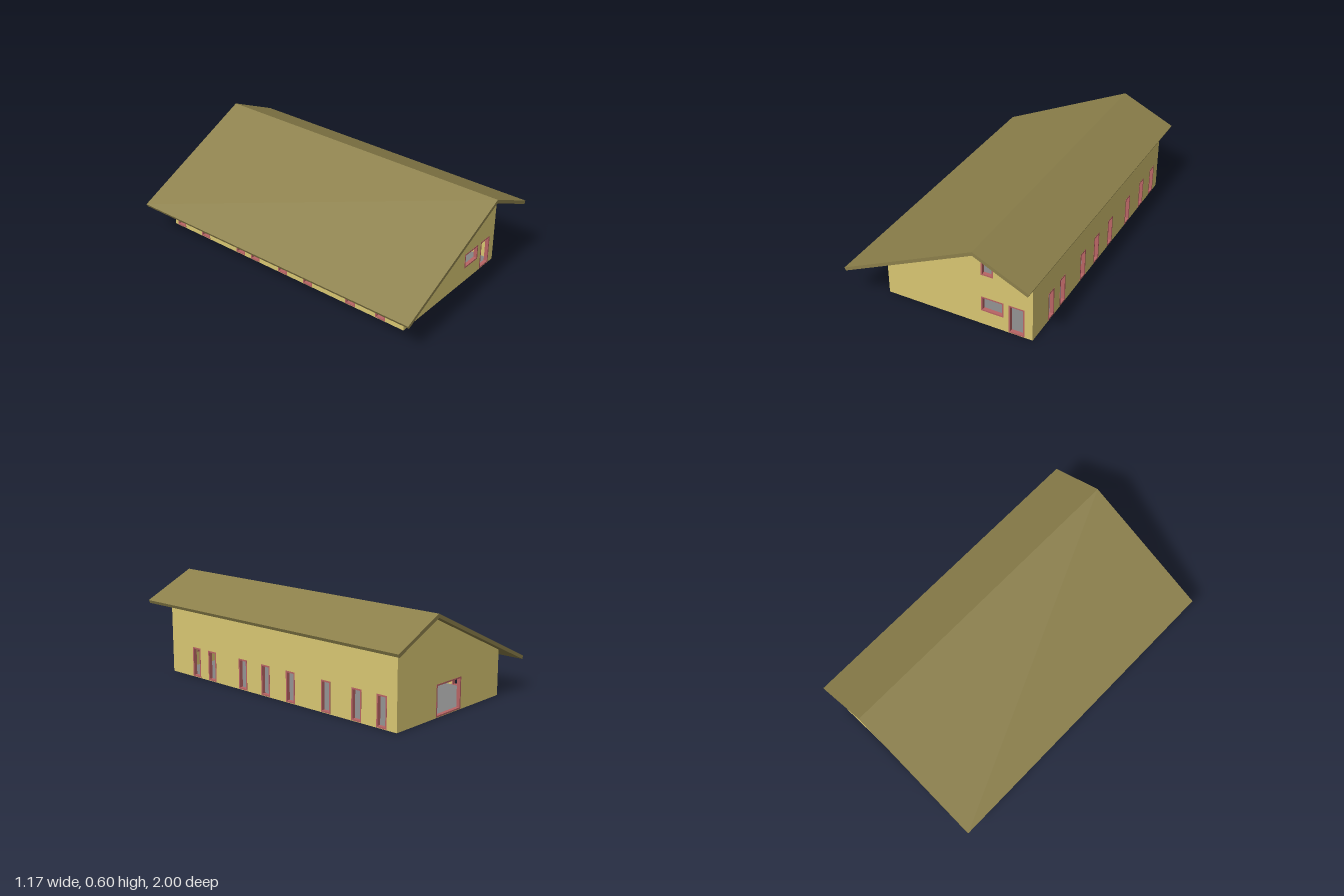
import * as THREE from 'three';

const X0 = -0.40, X1 = 0.525, Z0 = -0.95, Z1 = 0.845; // outer wall faces
const T = 0.02;                                        // wall thickness
const RIDGE = [0.25, 0.574];
const material = (color) => new THREE.MeshStandardMaterial({ color, flatShading: true });

// height of the roof underside at x
const underRoof = (x) => RIDGE[1] - (x < RIDGE[0] ? (RIDGE[0] - x) * 0.464 : (x - RIDGE[0]) * 0.471);

const polygon = (points) => new THREE.Shape(points.map(([x, y]) => new THREE.Vector2(x, y)));

const rectPath = (a, b, c, d) => {
  const p = new THREE.Path();
  p.moveTo(a, c);
  p.lineTo(a, d);
  p.lineTo(b, d);
  p.lineTo(b, c);
  p.closePath();
  return p;
};

const extrude = (shape, depth) => new THREE.ExtrudeGeometry(shape, { depth, bevelEnabled: false });

function addMesh(parent, name, geometry, mat) {
  const mesh = new THREE.Mesh(geometry, mat);
  mesh.name = name;
  parent.add(mesh);
  return mesh;
}

// a wall with openings [left, right, bottom, top], each lined by a frame
function makeWall(name, outline, openings, wallMat, frameMat) {
  const group = new THREE.Group();
  group.name = name;
  const wall = polygon(outline);
  const f = 0.009, out = 0.001;
  openings.forEach(([a, b, c, d], i) => {
    wall.holes.push(rectPath(a, b, c, d));
    const frame = polygon([[a, c], [b, c], [b, d], [a, d]]);
    frame.holes.push(rectPath(a + f, b - f, c + f, d - f));
    addMesh(group, `${name}Frame${i + 1}`, extrude(frame, T + 2 * out), frameMat).position.z = -out;
  });
  addMesh(group, `${name}Panel`, extrude(wall, T), wallMat);
  return group;
}

export function createModel() {
  const model = new THREE.Group();
  model.name = 'house';
  const wallMat = material(0xd8c672);
  const frameMat = material(0xb86464);
  const roofMat = material(0x8b7f4a);
  const floorMat = material(0x858585);

  // gable walls
  const gable = [[X0, 0], [X1, 0], [X1, underRoof(X1)], RIDGE, [X0, underRoof(X0)]];
  const front = makeWall('frontWall', gable, [
    [0.21, 0.285, 0.336, 0.43],
    [0.207, 0.347, 0.092, 0.189],
    [0.378, 0.475, 0.003, 0.189],
  ], wallMat, frameMat);
  front.position.z = Z1 - T;
  const back = makeWall('backWall', gable, [[-0.036, 0.189, 0.003, 0.189]], wallMat, frameMat);
  back.position.z = Z0;
  model.add(front, back);

  // long walls with rows of tall openings
  const sides = [
    ['leftWall', X1, X1, [0.622, 0.48, 0.21, 0.02, -0.18, -0.45, -0.672, -0.847]],
    ['rightWall', X0 + T, X0, [0.685, 0.472, 0.155, -0.04, -0.26, -0.38, -0.678, -0.892]],
  ];
  for (const [name, x, outerX, centres] of sides) {
    const h = underRoof(outerX), a = Z0 + T, b = Z1 - T;
    const wall = makeWall(name, [[a, 0], [b, 0], [b, h], [a, h]],
      centres.map((z) => [z - 0.035, z + 0.035, 0.003, 0.187]), wallMat, frameMat);
    wall.rotation.y = -Math.PI / 2;
    wall.position.x = x;
    model.add(wall);
  }

  // ground slab and upper floor, fitted between the walls
  const slab = new THREE.BoxGeometry(X1 - X0 - 2 * T, 0.008, Z1 - Z0 - 2 * T);
  for (const [name, y] of [['groundFloor', 0.004], ['upperFloor', 0.215]]) {
    addMesh(model, name, slab, floorMat).position.set((X0 + X1) / 2, y, (Z0 + Z1) / 2);
  }

  // two-slope roof with square-cut eaves
  const roof = polygon([
    [-0.577, 0.191], RIDGE, [0.574, 0.422],
    [0.583, 0.441], [0.25, 0.597], [-0.586, 0.209],
  ]);
  addMesh(model, 'roof', extrude(roof, 2), roofMat).position.z = -1;

  return model;
}
